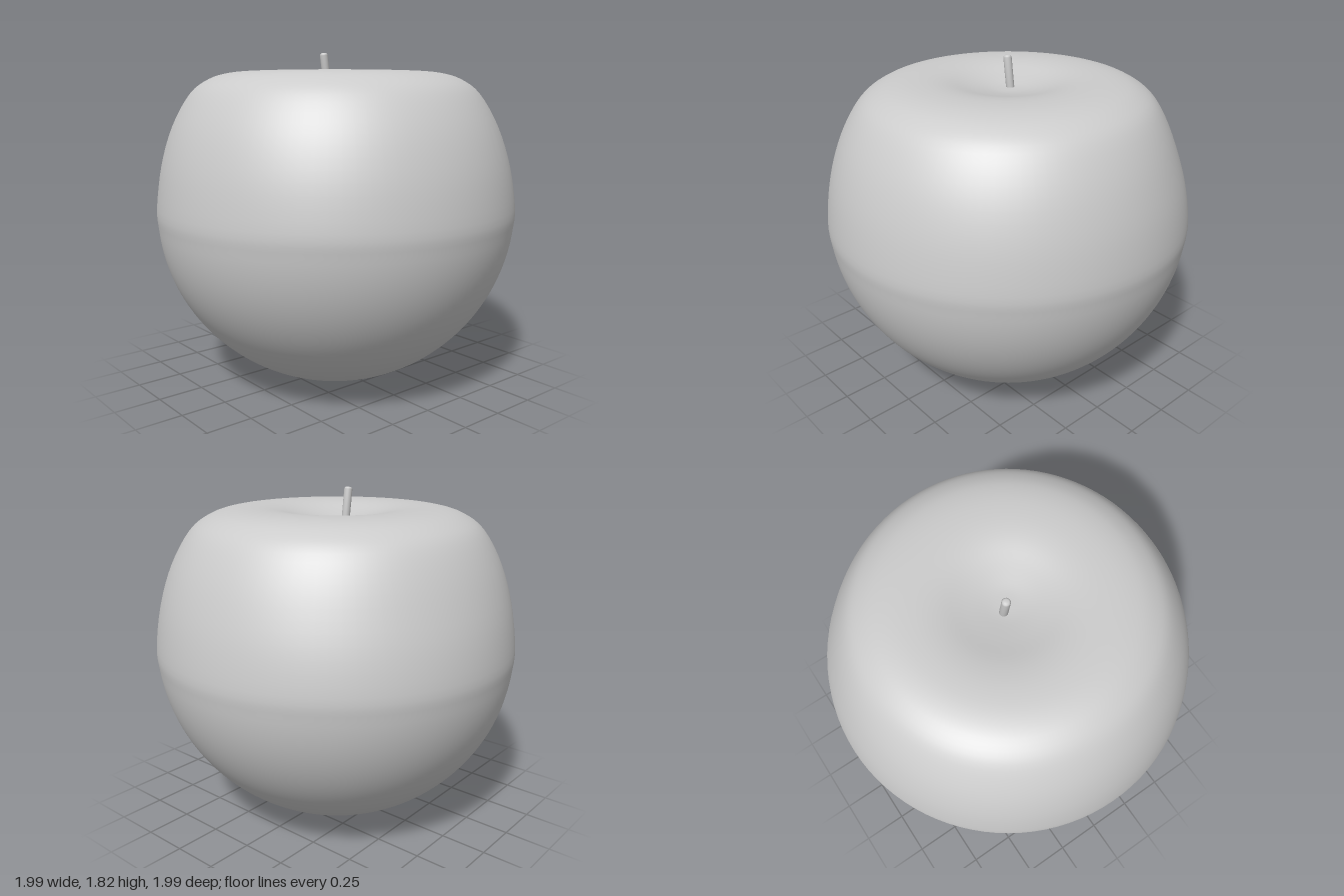
import * as THREE from 'three';
import { mergeVertices } from 'three/addons/utils/BufferGeometryUtils.js';

const material = new THREE.MeshStandardMaterial({ color: 0xcccccc, roughness: 0.8 });

// Round lower half, flattened shoulders and a shallow dimple at the top
function bodyProfile() {
  const points = [];
  for (let i = 0; i <= 14; i++) {
    const a = (i / 14) * Math.PI / 2;
    points.push(new THREE.Vector2(0.995 * Math.sin(a), 1 - Math.cos(a)));
  }
  const upper = [
    [0.96, 1.22], [0.89, 1.43], [0.79, 1.6], [0.69, 1.677], [0.58, 1.711],
    [0.45, 1.72], [0.33, 1.71], [0.2, 1.68], [0.08, 1.658], [0, 1.655],
  ];
  upper.forEach(([r, y]) => points.push(new THREE.Vector2(r, y)));
  const profile = new THREE.SplineCurve(points).getPoints(96);
  profile[0].x = profile[96].x = 0;
  return profile;
}

// Slight natural unevenness: a soft dent centred on a direction and height
function dent(angle, y, direction, height, spread, depth) {
  const around = Math.max(0, Math.cos(angle - direction)) ** 2;
  return depth * around * Math.exp(-(((y - height) / spread) ** 2));
}

function createBody() {
  let geometry = new THREE.LatheGeometry(bodyProfile(), 96);
  const p = geometry.attributes.position;
  for (let i = 0; i < p.count; i++) {
    const x = p.getX(i), y = p.getY(i), z = p.getZ(i);
    const angle = Math.atan2(z, x);
    const k = 1 - dent(angle, y, Math.PI * 0.75, 1.0, 0.4, 0.015)
                - dent(angle, y, -Math.PI * 0.8, 1.4, 0.25, 0.02);
    p.setXYZ(i, x * k, y, z * k);
  }
  // Weld the seam so the shading is continuous
  geometry.deleteAttribute('uv');
  geometry.deleteAttribute('normal');
  geometry = mergeVertices(geometry, 1e-5);
  geometry.computeVertexNormals();
  const body = new THREE.Mesh(geometry, material);
  body.name = 'fruitBody';
  return body;
}

// Short leaning stem with a softly rounded tip
function createStem() {
  const length = 0.2, radius = 0.022;
  const outline = [[0, 0], [radius, 0], [radius, length - 0.012],
    [radius * 0.85, length - 0.004], [radius * 0.55, length], [0, length]];
  const geometry = new THREE.LatheGeometry(outline.map(([r, y]) => new THREE.Vector2(r, y)), 20);
  const stem = new THREE.Mesh(geometry, material);
  stem.name = 'stem';
  stem.position.set(-0.037, 1.622, 0.021);
  stem.rotation.x = 0.14;
  return stem;
}

export function createModel() {
  const model = new THREE.Group();
  model.name = 'apple';
  model.add(createBody(), createStem());
  return model;
}
